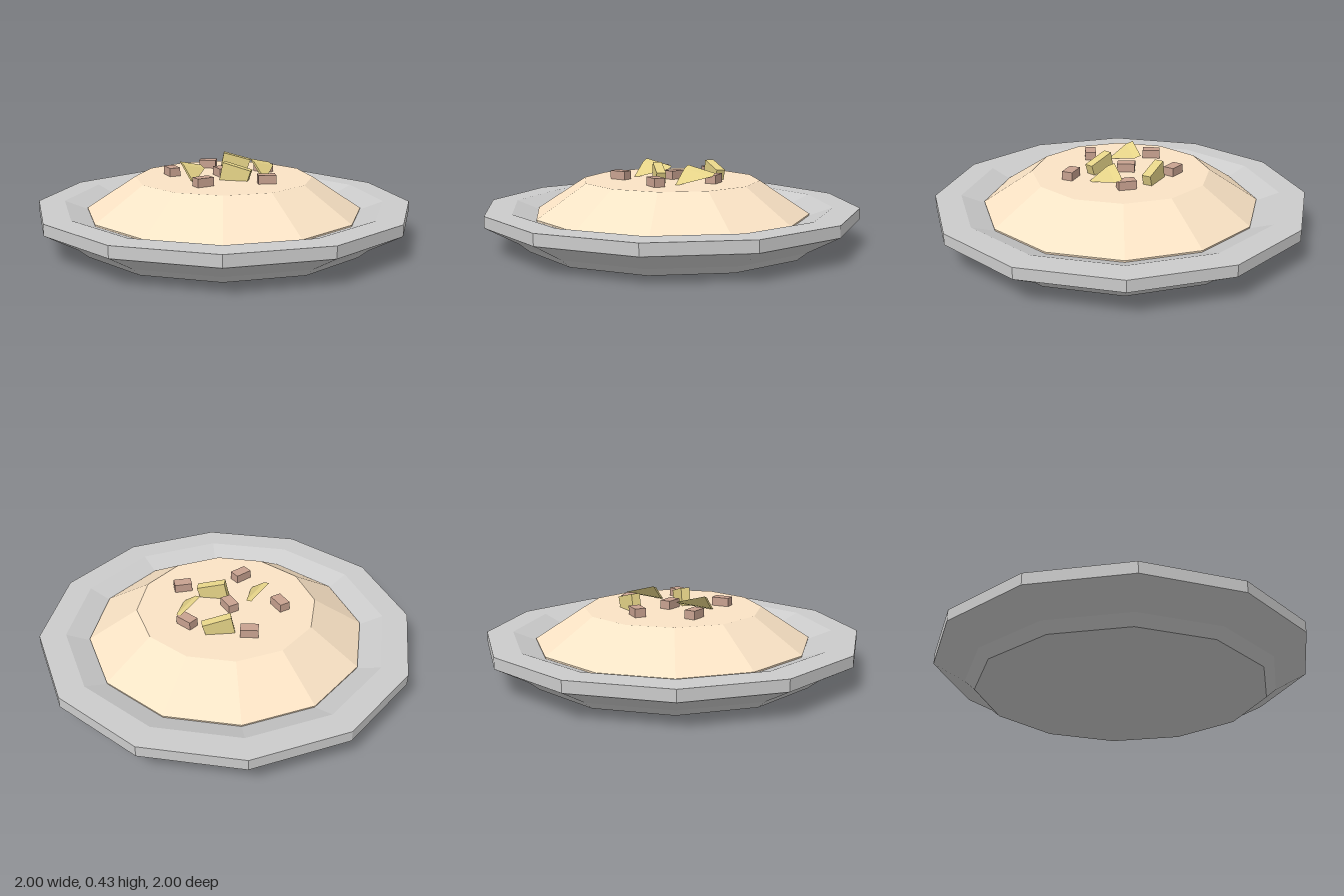
import * as THREE from 'three';
import { ConvexGeometry } from 'three/addons/geometries/ConvexGeometry.js';

const mat = (color) => new THREE.MeshStandardMaterial({ color, flatShading: true });
const rad = THREE.MathUtils.degToRad;

// Twelve-sided turned solid from [radius, height] pairs
function turned(name, profile, material) {
  const points = profile.map(([r, y]) => new THREE.Vector2(r, y));
  const mesh = new THREE.Mesh(new THREE.LatheGeometry(points, 12), material);
  mesh.name = name;
  return mesh;
}

// Solid slice: a face polygon pushed along an offset
function slice(name, face, offset, material) {
  const front = face.map((p) => new THREE.Vector3(...p));
  const back = front.map((p) => p.clone().add(offset));
  const mesh = new THREE.Mesh(new ConvexGeometry([...front, ...back]), material);
  mesh.name = name;
  return mesh;
}

export function createModel() {
  const group = new THREE.Group();
  group.name = 'plateOfFood';
  const grey = mat(0xcccccc);
  const cream = mat(0xfae3c5);
  const brown = mat(0xc8a290);
  const yellow = mat(0xe6d488);

  // Plate with a raised foot, thick rim and sunken middle
  group.add(turned('plate', [
    [0, 0], [0.775, 0], [0.83, 0.045], [1, 0.14], [1, 0.2],
    [0.86, 0.2], [0.7, 0.14], [0, 0.14],
  ], grey));

  // Flat-topped mound of food
  group.add(turned('foodMound', [
    [0, 0.15], [0.735, 0.15], [0.738, 0.163], [0.475, 0.336], [0, 0.336],
  ], cream));

  // Small brown chunks: x, z, turn in degrees
  const chunks = [
    [-0.09, -0.265, -8], [-0.28, -0.04, -65], [-0.013, -0.025, -66],
    [0.218, -0.15, -47], [0.222, 0.175, 6], [-0.103, 0.25, 33],
  ];
  for (const [x, z, turn] of chunks) {
    const chunk = new THREE.Mesh(new THREE.BoxGeometry(0.093, 0.07, 0.058), brown);
    chunk.name = 'brownChunk';
    chunk.position.set(x, 0.346, z);
    chunk.rotation.y = rad(turn);
    group.add(chunk);
  }

  // Upright yellow slices: z, turn in degrees
  for (const [z, turn] of [[-0.225, 0], [0.095, -13]]) {
    const upright = slice('uprightSlice', [
      [-0.065, 0.43, 0.024], [0.083, 0.39, 0.024], [0.06, 0.32, 0.024], [-0.088, 0.32, 0.024],
    ], new THREE.Vector3(0, 0, -0.048), yellow);
    upright.position.set(0.065, 0, z);
    upright.rotation.y = rad(turn);
    group.add(upright);
  }

  // Leaning three-cornered yellow slices
  for (const [x, z] of [[-0.165, 0.06], [0.208, -0.03]]) {
    const leaning = slice('leaningSlice', [
      [-0.045, 0.412, 0.022], [0.063, 0.375, -0.085], [0.012, 0.33, 0.1],
    ], new THREE.Vector3(-0.022, 0.014, -0.03), yellow);
    leaning.position.set(x, 0, z);
    group.add(leaning);
  }

  return group;
}
